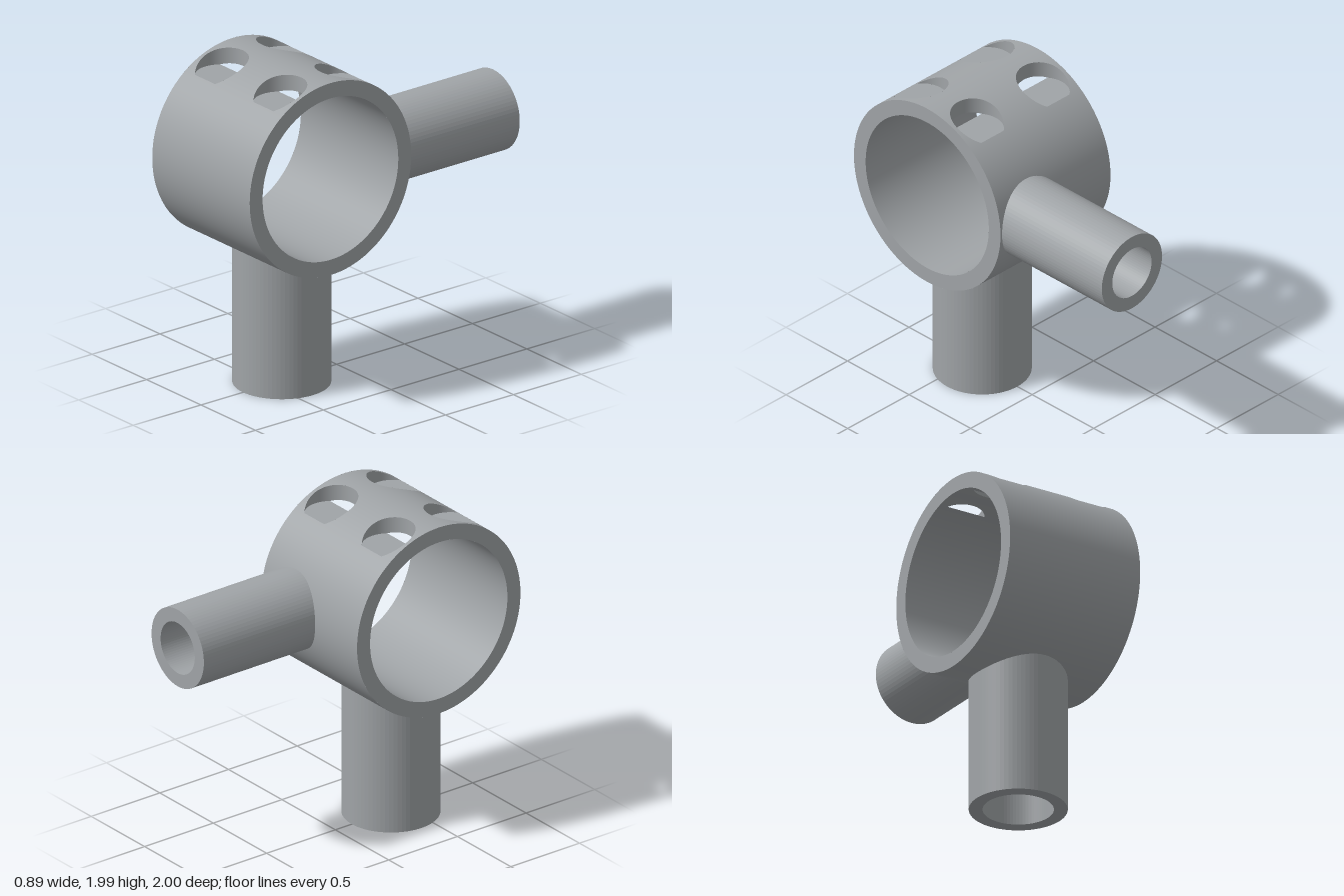
import * as THREE from 'three';
import { ParametricGeometry } from 'three/addons/geometries/ParametricGeometry.js';

const CY = 1.39, CZ = 0.405;             // ring axis (runs along x)
const RO = 0.595, RI = 0.5, H = 0.4475;  // ring radii and half width
const HX = 0.268, HZ = 0.225, HR = 0.155; // pocket centre offsets and radius
const FLOOR = 0.481;                     // pocket floor height above the axis
const L_OUT = Math.sqrt(RO * RO - FLOOR * FLOOR);
const L_IN = Math.sqrt(RI * RI - FLOOR * FLOOR);
const D_OUT = 0.38, D_IN = 0.3;          // depth of the pierced zone, each side of the top

const height = (R, d) => Math.sqrt(Math.max(0, R * R - d * d));

// Surface patch; flip reverses the facing
function patch(f, nu, nv, flip) {
  return new ParametricGeometry((u, v, t) => t.set(...f(flip ? 1 - u : u, v)), nu, nv);
}

// Piece of ring surface around one hole, from the hole edge out to a rectangle
function piercedCell(R, o, limit, D, sx, sz, flip) {
  const angles = [];
  const n = 56, TAU = Math.PI * 2;
  for (let i = 0; i < n; i++) angles.push((i / n) * TAU);
  const w = Math.sqrt(HR * HR - (limit - HZ) ** 2);
  const corners = [[H - HX, D - o], [-HX, D - o], [-HX, -o], [H - HX, -o], [w, limit - o], [-w, limit - o]];
  for (const [x, z] of corners) angles.push((Math.atan2(z, x) + TAU) % TAU);
  angles.sort((a, b) => a - b);
  angles.push(TAU);
  const m = angles.length - 1;
  return patch((u, v) => {
    const k = Math.min(m - 1, Math.floor(u * m + 1e-9)), q = u * m - k;
    const a = angles[k] * (1 - q) + angles[k + 1] * q;
    const c = Math.cos(a), s = Math.sin(a), off = HZ - o;
    let r0 = s * off + Math.sqrt(HR * HR - (off * c) ** 2);
    if (s > 1e-6) r0 = Math.min(r0, (limit - o) / s);
    let r1 = Infinity;
    if (Math.abs(c) > 1e-9) r1 = (c > 0 ? H - HX : -HX) / c;
    if (Math.abs(s) > 1e-9) r1 = Math.min(r1, (s > 0 ? D - o : -o) / s);
    const r = r0 + (r1 - r0) * v, d = o + r * s;
    return [sx * (HX + r * c), CY + height(R, d), CZ + sz * d];
  }, m, 6, flip);
}

// Plain remainder of a ring surface, running round underneath
function plainArc(R, D, flip) {
  const t0 = Math.asin(D / R);
  return patch((u, v) => {
    const t = t0 + u * (Math.PI * 2 - 2 * t0);
    return [(v * 2 - 1) * H, CY + R * Math.cos(t), CZ + R * Math.sin(t)];
  }, 96, 1, flip);
}

// Vertical wall of a pocket
function pocketWall(sx, sz, flip) {
  const a1 = Math.asin((L_OUT - HZ) / HR), a0 = Math.PI - a1;
  return patch((u, v) => {
    const a = a0 + u * (Math.PI * 2 + a1 - a0);
    const d = HZ + HR * Math.sin(a);
    const low = Math.max(FLOOR, height(RI, d)), top = height(RO, d);
    return [sx * (HX + HR * Math.cos(a)), CY + low + (top - low) * v, CZ + sz * d];
  }, 48, 1, flip);
}

// Flat ledge at the bottom of a pocket
function pocketFloor(sx, sz, flip) {
  return patch((u, v) => {
    const d = L_IN + (L_OUT - L_IN) * v;
    const w = Math.sqrt(HR * HR - (d - HZ) ** 2);
    return [sx * (HX + w * (2 * u - 1)), CY + FLOOR, CZ + sz * d];
  }, 1, 20, !flip);
}

// Hollow pipe along +z
function pipe(ro, ri, length) {
  const s = new THREE.Shape().absarc(0, 0, ro, 0, Math.PI * 2, false);
  s.holes.push(new THREE.Path().absarc(0, 0, ri, 0, Math.PI * 2, true));
  return new THREE.ExtrudeGeometry(s, { depth: length, bevelEnabled: false, curveSegments: 36 });
}

export function createModel() {
  const model = new THREE.Group();
  model.name = 'pipeFitting';
  const grey = new THREE.MeshStandardMaterial({ color: 0xa0a4a7, side: THREE.DoubleSide });
  grey.name = 'metalGrey';
  const add = (parent, name, geometry) => {
    const mesh = new THREE.Mesh(geometry, grey);
    mesh.name = name;
    parent.add(mesh);
    return mesh;
  };

  // Ring
  const ring = new THREE.Group();
  ring.name = 'ring';
  model.add(ring);
  add(ring, 'ringOuterWall', plainArc(RO, D_OUT, false));
  add(ring, 'ringInnerWall', plainArc(RI, D_IN, true));
  for (const sx of [1, -1]) {
    const cap = add(ring, 'ringEndFace', new THREE.RingGeometry(RI, RO, 128));
    cap.rotation.y = sx * Math.PI / 2;
    cap.position.set(sx * H, CY, CZ);

    // Four round pockets across the top
    for (const sz of [1, -1]) {
      const flip = sx * sz < 0;
      add(ring, 'ringTopOuter', piercedCell(RO, HZ, L_OUT, D_OUT, sx, sz, flip));
      add(ring, 'ringTopInner', piercedCell(RI, 0.11, L_IN, D_IN, sx, sz, !flip));
      add(ring, 'pocketWall', pocketWall(sx, sz, flip));
      add(ring, 'pocketFloor', pocketFloor(sx, sz, flip));
    }
  }

  // Lower pipe, ending inside the ring wall
  const lower = add(model, 'lowerPipe', pipe(0.285, 0.205, 0.88));
  lower.rotation.x = -Math.PI / 2;
  lower.position.set(0, 0, CZ);

  // Rear pipe, set off to one side
  const rear = add(model, 'rearPipe', pipe(0.245, 0.16, 0.885));
  rear.position.set(0.19, CY, -1);

  return model;
}
